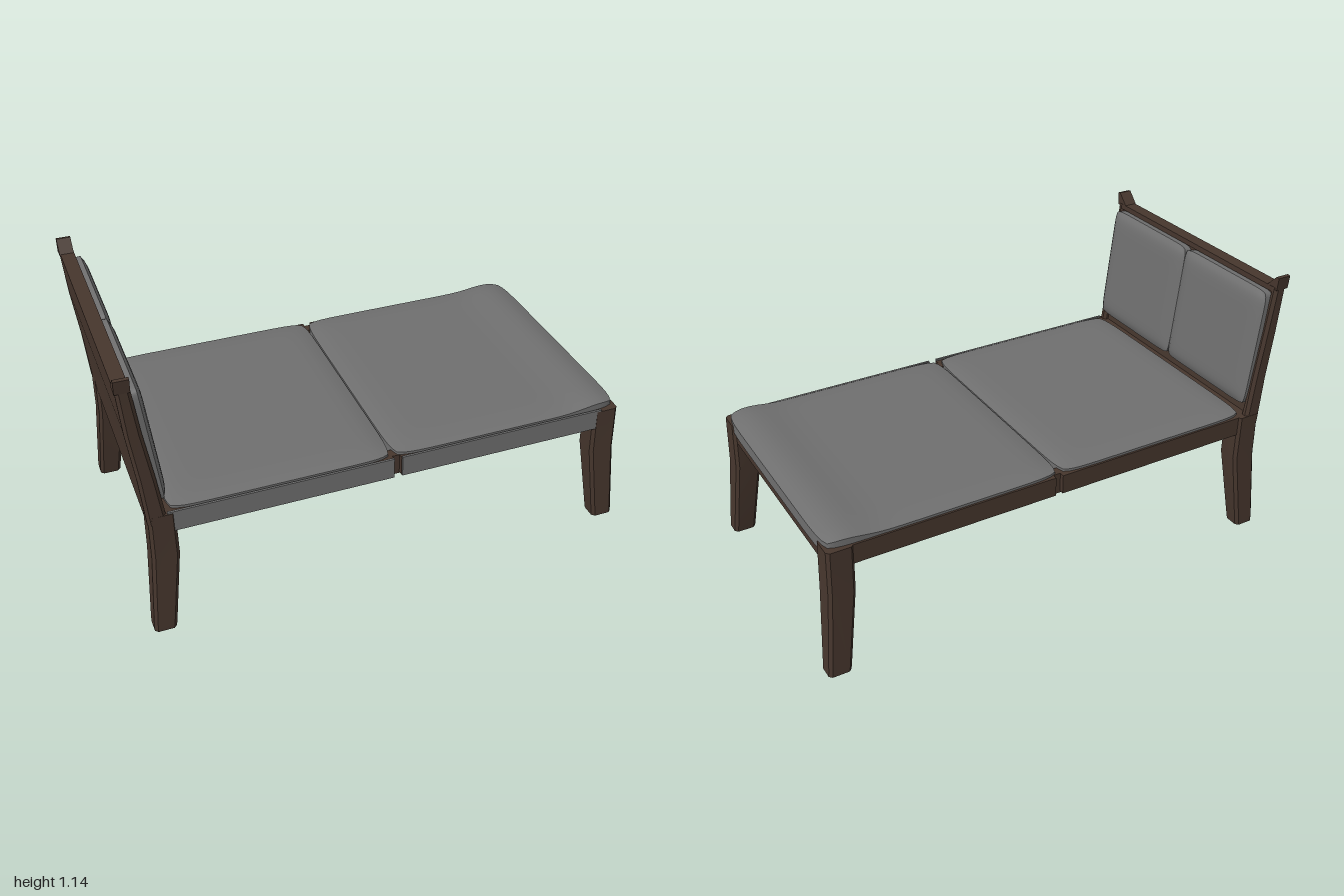
import * as THREE from 'three';
import { mergeVertices, toCreasedNormals } from 'three/addons/utils/BufferGeometryUtils.js';

const wood = new THREE.MeshStandardMaterial({ color: 0x46362d });
wood.name = 'dark wood';
const fabric = new THREE.MeshStandardMaterial({ color: 0x6f6f6f });
fabric.name = 'grey fabric';

function add(parent, name, geometry, material) {
  const mesh = new THREE.Mesh(geometry, material);
  mesh.name = name;
  parent.add(mesh);
  return mesh;
}

// Box given by its limits on each axis
function span(x0, x1, y0, y1, z0, z1) {
  const g = new THREE.BoxGeometry(x1 - x0, y1 - y0, z1 - z0);
  return g.translate((x0 + x1) / 2, (y0 + y1) / 2, (z0 + z1) / 2);
}

// Bevelled post through rows of [y, x0, x1, zInner, zOuter]; side mirrors it in z
function post(rows, side) {
  const pos = [], index = [], n = 8, c = 0.012;
  for (const [y, x0, x1, zi, zo] of rows) {
    const ring = [
      [x0 + c, zi], [x0, zi + c], [x0, zo - c], [x0 + c, zo],
      [x1 - c, zo], [x1, zo - c], [x1, zi + c], [x1 - c, zi],
    ];
    for (const [x, z] of ring) pos.push(x, y, z * side);
  }
  const tri = (a, b, d) => (side > 0 ? index.push(a, b, d) : index.push(a, d, b));
  for (let r = 0; r < rows.length - 1; r++) {
    for (let i = 0; i < n; i++) {
      const a = r * n + i, b = r * n + (i + 1) % n;
      tri(a, b, b + n);
      tri(a, b + n, a + n);
    }
  }
  const top = (rows.length - 1) * n;
  for (let i = 1; i < n - 1; i++) {
    tri(0, i + 1, i);
    tri(top, top + i, top + i + 1);
  }
  const g = new THREE.BufferGeometry();
  g.setAttribute('position', new THREE.Float32BufferAttribute(pos, 3));
  g.setIndex(index);
  return toCreasedNormals(g, 0.4);
}

// Soft slab: domed top with drawn-in corners, plus an optional lift along x
function cushion(w, h, d, dome, lift = () => 0) {
  const g = new THREE.BoxGeometry(w, h, d, 28, 4, 28);
  g.deleteAttribute('normal');
  g.deleteAttribute('uv');
  const soft = mergeVertices(g);
  const p = soft.attributes.position;
  for (let i = 0; i < p.count; i++) {
    const x = p.getX(i), z = p.getZ(i), t = p.getY(i) / h + 0.5;
    const u = Math.abs(2 * x / w), v = Math.abs(2 * z / d);
    const puff = (1 - u ** 12) * (1 - v ** 12);
    const pinch = 1 - 0.035 * (u * v) ** 10;
    p.setXYZ(i, x * pinch, p.getY(i) + t * (dome * puff + lift(x)), z * pinch);
  }
  return toCreasedNormals(soft, 1.0);
}

export function createModel() {
  const model = new THREE.Group();
  model.name = 'daybed';

  // Legs and raked headboard posts
  const footRows = [
    [0, 0.91, 1.0, 0.47, 0.545], [0.02, 0.907, 0.998, 0.467, 0.545],
    [0.34, 0.865, 0.97, 0.43, 0.53], [0.535, 0.86, 0.965, 0.43, 0.528],
  ];
  const headRows = [
    [0, -0.96, -0.875, 0.47, 0.545], [0.02, -0.96, -0.872, 0.467, 0.545],
    [0.34, -0.937, -0.833, 0.43, 0.53], [0.535, -0.935, -0.835, 0.43, 0.53],
  ];
  const postRows = [
    [0.5, -0.938, -0.865, 0.49, 0.53], [0.7, -0.955, -0.89, 0.495, 0.528],
    [0.9, -0.98, -0.92, 0.495, 0.527], [1.09, -0.995, -0.942, 0.495, 0.53],
  ];
  for (const side of [1, -1]) {
    add(model, 'footLeg', post(footRows, side), wood);
    add(model, 'headLeg', post(headRows, side), wood);
    add(model, 'headboardPost', post(postRows, side), wood);

    // Flared tip at each end of the top rail
    const tip = new THREE.Shape([
      [0.472, 1.085], [0.522, 1.136], [0.536, 1.134], [0.53, 1.08],
    ].map(([z, y]) => new THREE.Vector2(z * side, y)));
    const tipGeo = new THREE.ExtrudeGeometry(tip, { depth: 0.055, bevelEnabled: false });
    add(model, 'headboardTip', tipGeo.rotateY(-Math.PI / 2).translate(-0.943, 0, 0), wood);

    // Side rails in two lengths joined by a recessed link
    for (const [x0, x1] of [[-0.87, 0.005], [0.035, 0.9]]) {
      const z = side > 0 ? [0.46, 0.52] : [-0.52, -0.46];
      add(model, 'sideRail', span(x0, x1, 0.455, 0.535, ...z), wood);
    }
    const zl = side > 0 ? [0.46, 0.5] : [-0.5, -0.46];
    add(model, 'railLink', span(0, 0.04, 0.448, 0.535, ...zl), wood);
  }

  // Curved headboard panel and its top rail
  const profile = new THREE.Shape([
    [-0.93, 0.455], [-0.885, 0.455], [-0.895, 0.6], [-0.927, 0.85], [-0.95, 1.065],
    [-0.942, 1.068], [-0.942, 1.09], [-0.995, 1.09], [-0.978, 0.9], [-0.953, 0.7],
  ].map(([x, y]) => new THREE.Vector2(x, y)));
  const panel = new THREE.ExtrudeGeometry(profile, { depth: 1.03, bevelEnabled: false });
  add(model, 'headboardPanel', panel.translate(0, 0, -0.515), wood);

  // End rails and the supports below the mattress
  add(model, 'footRail', span(0.89, 0.955, 0.455, 0.535, -0.5, 0.5), wood);
  add(model, 'headRail', span(-0.92, -0.85, 0.455, 0.535, -0.5, 0.5), wood);
  add(model, 'centreBeam', span(-0.02, 0.06, 0.46, 0.5, -0.47, 0.47), wood);
  for (const x of [-0.8, 0.82]) {
    add(model, 'crossBar', span(x - 0.025, x + 0.025, 0.47, 0.505, -0.47, 0.47), wood);
  }
  for (let i = -2; i <= 2; i++) {
    const z = i * 0.2;
    add(model, 'slat', span(-0.86, 0.9, 0.48, 0.505, z - 0.065, z + 0.065), wood);
  }

  // Two mattress cushions, the foot one with a slight rise near its end
  const rise = (x) => 0.017 * Math.exp(-(((x - 0.4) / 0.1) ** 2));
  const headMattress = cushion(0.865, 0.042, 1.025, 0.014);
  add(model, 'headMattress', headMattress.translate(-0.428, 0.524, 0), fabric);
  const footMattress = cushion(0.955, 0.042, 1.025, 0.014, rise);
  add(model, 'footMattress', footMattress.translate(0.487, 0.524, 0), fabric);

  // Fabric skirt over the front side rail
  for (const [x0, x1] of [[-0.865, 0.003], [0.037, 0.89]]) {
    add(model, 'frontSkirt', span(x0, x1, 0.455, 0.542, 0.519, 0.528), fabric);
  }

  // Pair of leaning back cushions
  for (const side of [1, -1]) {
    const back = cushion(0.49, 0.05, 0.508, 0.018);
    back.rotateZ(-Math.PI / 2 + 0.115).translate(-0.916, 0.822, side * 0.254);
    add(model, 'backCushion', back, fabric);
  }
  return model;
}
